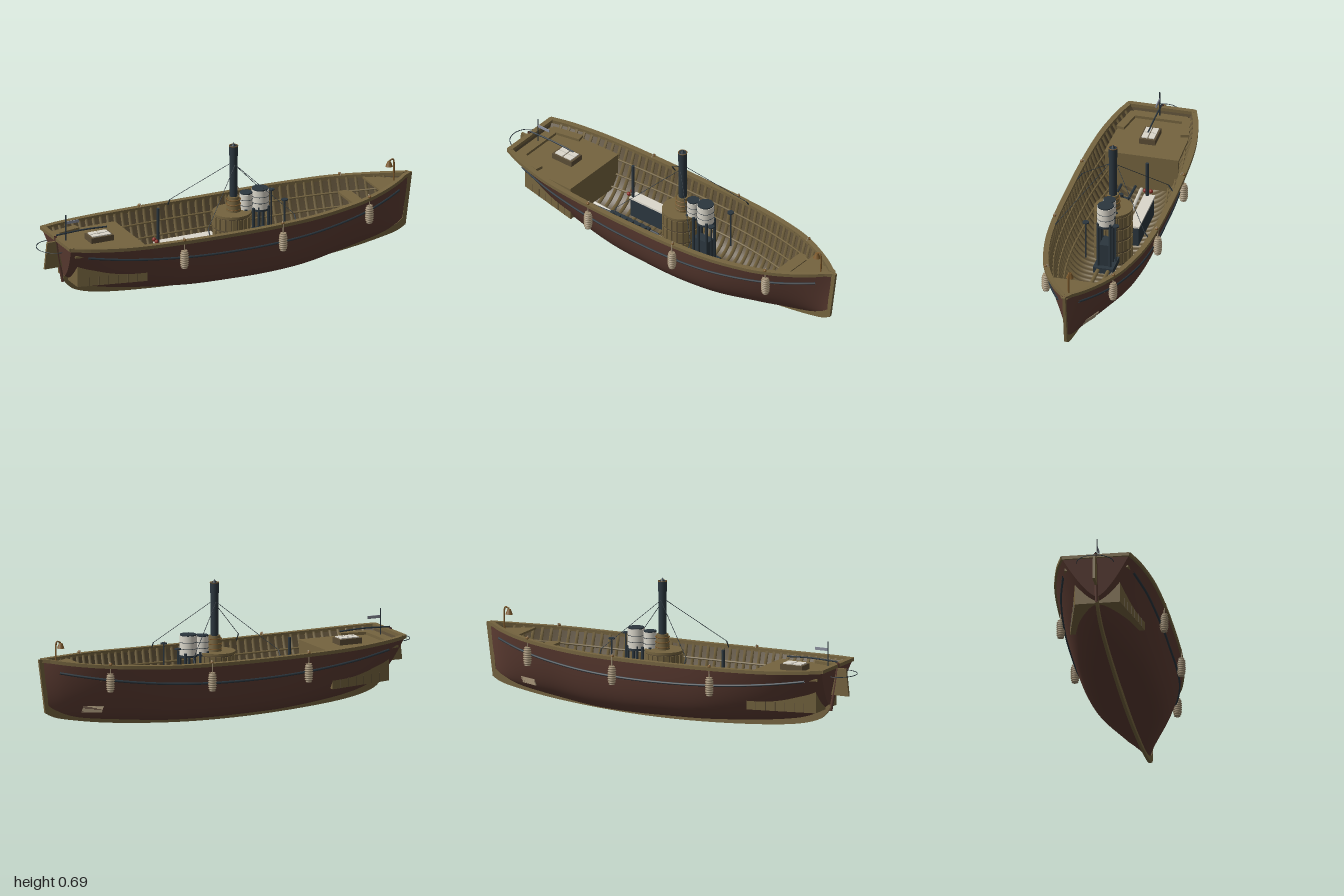
import * as THREE from 'three';

const mat = (name, color) => new THREE.MeshStandardMaterial({ name, color, side: THREE.DoubleSide });

// Hull tables: station, half beam, bottom, sheer, section fullness
const X = [-.9, -.8, -.6, -.3, 0, .2, .4, .6, .7, .8, .9, .975];
const B = [.165, .2, .238, .256, .258, .254, .238, .2, .168, .122, .064, .008];
const K = [.15, .095, .055, .035, .03, .03, .035, .05, .06, .075, .1, .13];
const S = [.345, .338, .328, .322, .32, .322, .327, .337, .343, .35, .36, .37];
const P = [.7, .68, .45, .25, .2, .2, .25, .38, .48, .6, .7, .8];

// Smooth (cubic Hermite) lookup in a table
function at(T, x) {
  const n = X.length - 1;
  let i = 0;
  while (i < n - 1 && x > X[i + 1]) i++;
  const slope = k => {
    const a = Math.max(0, k - 1), b = Math.min(n, k + 1);
    return (T[b] - T[a]) / (X[b] - X[a]);
  };
  const h = X[i + 1] - X[i], s = (x - X[i]) / h, s2 = s * s, s3 = s2 * s;
  return (2 * s3 - 3 * s2 + 1) * T[i] + (s3 - 2 * s2 + s) * h * slope(i)
    + (3 * s2 - 2 * s3) * T[i + 1] + (s3 - s2) * h * slope(i + 1);
}

// Point on the hull: u along, v from -1 (one rail) to 1 (other rail), off = inset
function hullPoint(u, v, off = 0) {
  const t = Math.abs(v) ** 3.5, k = at(K, u) + off;
  const z = Math.max(0, at(B, u) * t ** at(P, u) - off) * Math.sign(v);
  const aft = Math.max(0, (-u - .7) / .2), fore = Math.max(0, (u - .8) / .175);
  return [u + aft * (1 - t) * .04 + fore * (t - 1) * .015, k + (at(S, u) - k) * t, z];
}
const hullZ = (u, y) => {
  const t = THREE.MathUtils.clamp((y - at(K, u)) / (at(S, u) - at(K, u)), 0, 1);
  return at(B, u) * t ** at(P, u);
};

// Surface from a rule f(a, b), with a and b in 0..1
function grid(f, na, nb) {
  const pos = [], idx = [];
  for (let i = 0; i <= na; i++) for (let j = 0; j <= nb; j++) pos.push(...f(i / na, j / nb));
  for (let i = 0; i < na; i++) for (let j = 0; j < nb; j++) {
    const p = i * (nb + 1) + j, q = p + nb + 1;
    idx.push(p, p + 1, q, q, p + 1, q + 1);
  }
  const g = new THREE.BufferGeometry();
  g.setAttribute('position', new THREE.Float32BufferAttribute(pos, 3));
  g.setIndex(idx);
  g.computeVertexNormals();
  return g;
}

export function createModel() {
  const M = {
    hull: mat('hull brown', 0x5e3d33), wood: mat('wood', 0x75643f), plank: mat('inner planking', 0x5c4e36),
    iron: mat('dark iron', 0x2b363e), cream: mat('cream', 0xdcd8cc), rope: mat('fender rope', 0xa08f74),
    brass: mat('brass', 0x7d5a2c), red: mat('valve red', 0x8a2a22), flag: mat('flag grey', 0x8e93a0),
  };
  const model = new THREE.Group();
  const add = (name, geo, m, x = 0, y = 0, z = 0) => {
    const mesh = new THREE.Mesh(geo, m);
    mesh.name = name;
    mesh.position.set(x, y, z);
    model.add(mesh);
    return mesh;
  };
  const box = (name, m, w, h, d, x, y, z) => add(name, new THREE.BoxGeometry(w, h, d), m, x, y, z);
  const cyl = (name, m, r, h, x, y, z, r2 = r) => add(name, new THREE.CylinderGeometry(r2, r, h, 24), m, x, y + h / 2, z);
  const tube = (name, m, r, pts, n = 24) => add(name, new THREE.TubeGeometry(
    new THREE.CatmullRomCurve3(pts.map(p => new THREE.Vector3(...p))), n, r, 6), m);
  // Horizontal plate from half-outline points [x, z], mirrored across z
  const plate = (name, m, half, y, h) => {
    const pts = [...half, ...half.slice().reverse().map(([x, z]) => [x, -z])];
    const g = new THREE.ExtrudeGeometry(new THREE.Shape(pts.map(p => new THREE.Vector2(...p))), { depth: h, bevelEnabled: false });
    return add(name, g.rotateX(-Math.PI / 2), m, 0, y, 0);
  };
  const span = (a, b, s) => a + (b - a) * s;

  // Hull shell, lining and transom
  add('hull', grid((a, b) => hullPoint(span(-.9, .975, a), 1 - 2 * b), 60, 48), M.hull);
  add('hullLining', grid((a, b) => hullPoint(span(-.89, .955, a), 2 * b - 1, .012), 60, 48), M.plank);
  for (const [name, u, off, m] of [['transom', -.9, 0, M.hull], ['transomLining', -.89, .012, M.plank]])
    add(name, grid((a, b) => {
      const p = hullPoint(u, a, off);
      return [p[0], p[1], p[2] * (2 * b - 1)];
    }, 24, 4), m);

  // Ribs and lengthwise stringers inside
  for (let x = -.84; x < .9; x += .04)
    add('rib', grid((a, b) => {
      const p = hullPoint(x, 2 * a - 1, b > .2 && b < .8 ? .022 : .012);
      p[0] += (b < .5 ? -.006 : .006);
      return p;
    }, 40, 3), M.wood);
  for (const s of [-1, 1]) for (const v of [.7, .82, .92])
    tube('stringer', M.wood, .005, Array.from({ length: 16 }, (_, i) => hullPoint(span(-.86, .88, i / 15), s * v, .022)), 50);

  // Gunwale rails and stern rail
  const lip = [[-.02, -.008], [.007, -.008], [.007, .009], [-.02, .009], [-.02, -.008]];
  for (const s of [-1, 1])
    add('gunwale', grid((a, b) => {
      const u = span(-.905, .985, a), c = lip[Math.round(b * 4)];
      return [u, at(S, Math.min(u, .975)) + c[1], s * Math.max(0, at(B, Math.min(u, .975)) + c[0])];
    }, 60, 4).toNonIndexed(), M.wood).geometry.computeVertexNormals();
  box('sternRail', M.wood, .025, .017, .33, -.895, .346, 0);

  // Keel and stem in one curved timber
  const keel = new THREE.Shape();
  keel.moveTo(-.87, .14);
  keel.splineThru([[-.8, .07], [-.6, .027], [-.2, 0], [.2, 0], [.6, .03], [.88, .075], [.965, .11]].map(p => new THREE.Vector2(...p)));
  keel.lineTo(1, .375);
  keel.lineTo(.97, .375);
  keel.lineTo(.95, .145);
  keel.splineThru([[.85, .1], [.5, .048], [0, .034], [-.5, .052], [-.78, .1], [-.85, .16]].map(p => new THREE.Vector2(...p)));
  add('keelAndStem', new THREE.ExtrudeGeometry(keel, { depth: .014, bevelEnabled: false, curveSegments: 40 }), M.wood, 0, 0, -.007);

  // Rudder, its post and the steering hoop
  const rudder = new THREE.Shape([[-.95, .335], [-.9, .335], [-.87, .2], [-.965, .2]].map(p => new THREE.Vector2(...p)));
  add('rudder', new THREE.ExtrudeGeometry(rudder, { depth: .012, bevelEnabled: false }), M.wood, 0, 0, -.006);
  tube('rudderPost', M.hull, .008, [[-.905, .36, 0], [-.89, .25, 0], [-.865, .12, 0]]);
  tube('steeringHoop', M.iron, .002, Array.from({ length: 13 }, (_, i) => {
    const a = Math.PI * i / 12;
    return [-.91 - .088 * Math.sin(a), .308, .09 * Math.cos(a)];
  }));
  tube('tiller', M.iron, .004, [[-.9, .365, 0], [-.75, .37, 0], [-.63, .365, 0]]);

  // Rubbing strakes along each side
  for (const s of [-1, 1])
    tube('rubbingStrake', M.iron, .006, Array.from({ length: 21 }, (_, i) => {
      const x = span(-.81, .91, i / 20), y = .226 + (x > 0 ? .102 : .098) * x * x;
      return [x, y, s * (hullZ(x, y) + .002)];
    }), 80);

  // Aft locker, deck, stern benches and hatch
  plate('aftLocker', M.wood, [[-.5, .182], [-.84, .11]], .125, .17);
  for (const s of [-1, 1]) for (let i = 1; i < 7; i++)
    box('lockerSeam', M.plank, .003, .045, .004, -.5 - i * .047, .148, s * (.182 - i * .047 * .212));
  plate('aftDeck', M.wood, [[-.5, .185], [-.7, .18], [-.87, .155]], .293, .012);
  for (const s of [-1, 1])
    box('sternBench', M.wood, .16, .014, .04, -.79, .317, s * .145).rotation.y = -s * .2;
  box('sternSeat', M.wood, .05, .014, .27, -.855, .317, 0);
  box('hatchFrame', M.plank, .12, .03, .08, -.67, .318, 0);
  for (const s of [-1, 1]) for (const t of [-1, 1])
    box('hatchPane', M.cream, .046, .006, .029, -.67 + s * .026, .335, t * .017);

  // Bow deck and bench
  plate('bowDeck', M.wood, [[.79, .118], [.85, .088], [.9, .056], [.96, .012]], .335, .01);
  box('bowBench', M.wood, .06, .012, .27, .7, .275, 0);

  // Boiler with wooden lagging and hoops
  cyl('boiler', M.plank, .09, .27, .04, .055, 0);
  for (let i = 0; i < 20; i++) for (let j = 0; j < 4; j++) {
    const a = i * Math.PI / 10;
    box('lagging', M.wood, .006, .056, .022, .04 + .09 * Math.cos(a), .09 + j * .066, .09 * Math.sin(a)).rotation.y = -a;
  }
  cyl('boilerTop', M.wood, .095, .012, .04, .322, 0);
  cyl('smokebox', M.wood, .036, .08, .048, .33, 0, .028);
  for (const y of [.345, .37, .395])
    add('smokeboxBand', new THREE.TorusGeometry(.033, .003, 6, 24).rotateX(Math.PI / 2), M.brass, .048, y, 0);

  // Funnel with cap and stays
  cyl('funnel', M.iron, .02, .27, .048, .4, 0);
  cyl('funnelCap', M.iron, .022, .05, .048, .62, 0);
  add('funnelRim', new THREE.TorusGeometry(.021, .002, 6, 24).rotateX(Math.PI / 2), M.brass, .048, .67, 0);
  cyl('funnelTip', M.iron, .01, .016, .048, .67, 0, .001);
  for (const x of [-.19, .27]) for (const s of [-1, 1]) {
    tube('funnelStay', M.iron, .0014, [[.048, .577, s * .018], [(x + .048) / 2, .466, s * .1165], [x, .355, s * .215]], 4);
    tube('stayPost', M.iron, .003, [[x, .355, s * .215], [x, .32, s * .238]], 4);
  }

  // Engine: base, columns and two cylinders
  box('engineBase', M.iron, .17, .03, .1, .16, .09, 0);
  for (const x of [.1, .14, .17, .22]) for (const s of [-1, 1])
    cyl('engineColumn', M.iron, .007, .25, x, .09, s * .03);
  box('crankCase', M.iron, .1, .12, .05, .17, .16, 0);
  for (const [x, r, h] of [[.115, .032, .085], [.19, .042, .095]]) {
    cyl('engineCylinder', M.cream, r, h, x, .328, 0);
    for (const k of [.33, .66])
      add('cylinderBand', new THREE.TorusGeometry(r, .0015, 6, 24).rotateX(Math.PI / 2), M.iron, x, .328 + h * k, 0);
    cyl('cylinderHead', M.iron, r * .95, .006, x, .328 + h, 0);
    cyl('cylinderFoot', M.iron, r * 1.05, .01, x, .318, 0);
  }
  for (const s of [-1, 1]) {
    cyl('valveStem', M.iron, .004, .2, .285, .18, s * .075);
    cyl('valveWheel', M.iron, .016, .006, .285, .374, s * .075);
    tube('feedPipe', M.wood, .01, [[.24, .09, s * .025], [.5, .09, s * .025], [.76, .1, s * .02]]);
  }
  tube('propellerShaft', M.cream, .009, [[.1, .1, 0], [-.2, .1, 0], [-.5, .12, 0]]);

  // Side tank with lever, and machinery along the floor
  box('tank', M.iron, .3, .1, .045, -.175, .14, -.085);
  box('tankTop', M.cream, .31, .01, .055, -.175, .195, -.085);
  cyl('lever', M.iron, .008, .2, -.32, .18, -.075);
  for (const z of [-.09, -.06]) add('valveKnob', new THREE.SphereGeometry(.01, 12, 8), M.red, -.335, .215, z);
  for (let i = 0; i < 6; i++) {
    box('pump', M.iron, .025, .07, .08, -.34 + i * .04, .12, .065);
    cyl('pumpCap', M.iron, .012, .02, -.34 + i * .04, .155, .06);
  }
  for (const z of [.03, .1]) tube('floorPipe', M.iron, .007, [[-.5, .13, z], [-.3, .14, z], [-.08, .14, z]]);

  // Rope fenders: a ribbed body with a hanging loop
  const ribs = [new THREE.Vector2(.001, -.046)];
  for (let i = 0; i <= 32; i++) {
    const k = i / 32 * 2 - 1;
    ribs.push(new THREE.Vector2((.019 - .006 * k ** 4) + .003 * Math.cos(i * Math.PI / 2), k * .045));
  }
  ribs.push(new THREE.Vector2(.001, .046));
  for (const [x, y] of [[-.335, .235], [.19, .24], [.695, .265]]) for (const s of [-1, 1]) {
    const z = s * (hullZ(x, y) + .021), top = at(S, x) + .022;
    add('fender', new THREE.LatheGeometry(ribs, 16), M.rope, x, y, z);
    tube('fenderRope', M.rope, .003, [[x, y + .04, z], [x, top - .01, z], [x, top, z - s * .006], [x, top - .015, z - s * .014]]);
    add('cleat', new THREE.SphereGeometry(.008, 10, 8), M.brass, x, top - .01, s * at(B, x));
  }

  // Inlet grating low on one bow
  for (let i = 0; i < 6; i++) {
    const y = .105 + i * .006;
    box('inletGrating', M.rope, .1, .004, .006, .74, y, -hullZ(.74, y) - .001).rotation.y = -.42;
  }

  // Bow bell on its bracket, stern flag
  tube('bellBracket', M.brass, .004, [[.905, .345, 0], [.905, .445, 0], [.9, .457, 0], [.88, .45, 0]]);
  cyl('bell', M.brass, .018, .025, .88, .422, 0, .008);
  cyl('flagPole', M.iron, .003, .13, -.85, .33, 0);
  box('flag', M.flag, .07, .014, .004, -.815, .42, 0);
  return model;
}
